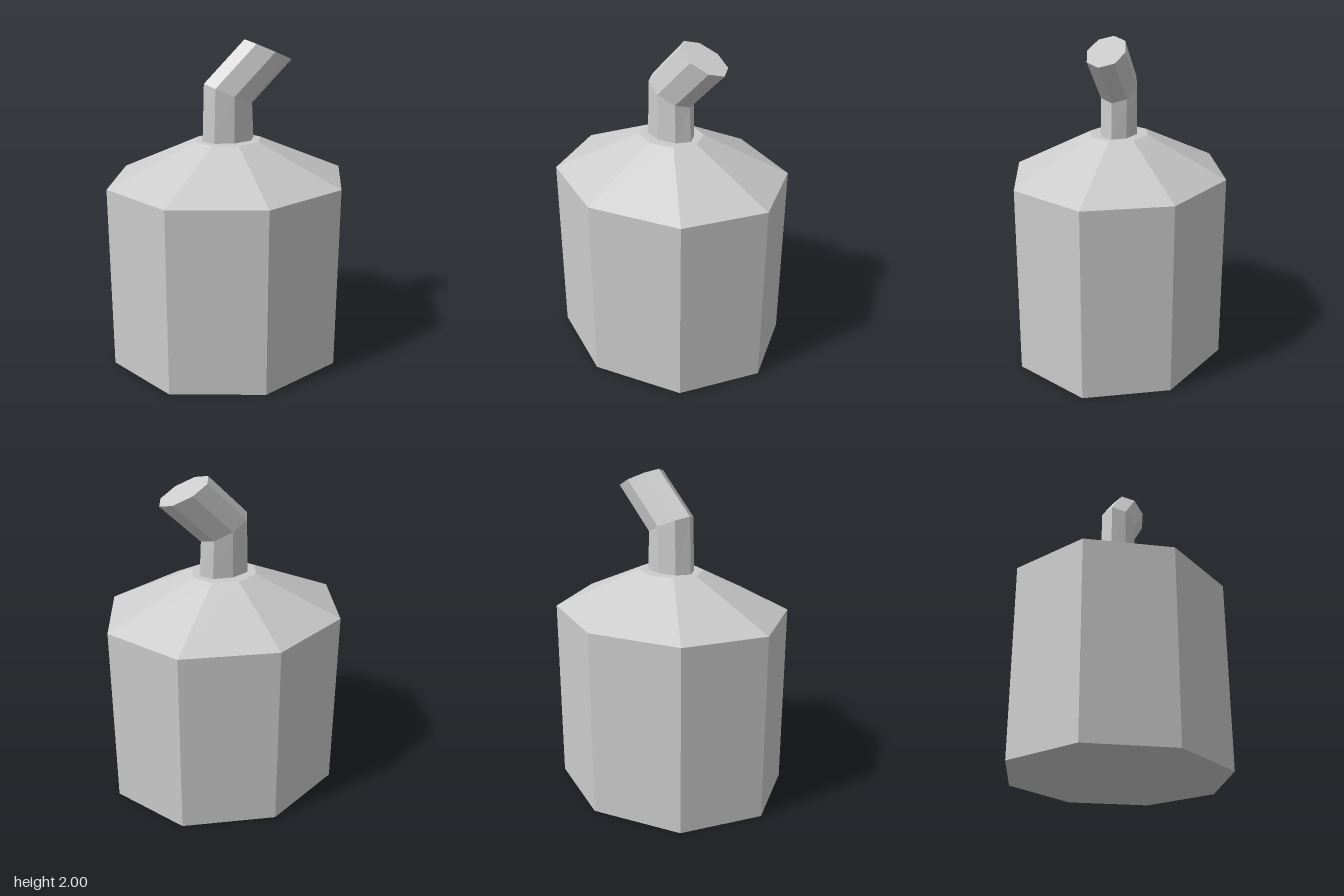
import * as THREE from 'three';

const SIDES = 8;

// Skins a stack of tilted octagonal rings, bottom to top, and closes both ends.
// Ring: centre x, centre y, half width in x, rise at the +x end, half depth in z.
function loft(name, rings, material) {
  const positions = [];
  const point = ([cx, cy, rx, tilt, rz], i) => {
    const a = (i % SIDES) * Math.PI * 2 / SIDES;
    return [cx + rx * Math.cos(a), cy + tilt * Math.cos(a), rz * Math.sin(a)];
  };
  const triangle = (...corners) => corners.forEach((c) => positions.push(...c));
  const first = rings[0], last = rings[rings.length - 1];

  for (let i = 0; i < SIDES; i++) {
    for (let r = 0; r < rings.length - 1; r++) {
      const a = point(rings[r], i), b = point(rings[r + 1], i);
      const c = point(rings[r + 1], i + 1), d = point(rings[r], i + 1);
      triangle(a, b, d);
      triangle(b, c, d);
    }
    triangle([first[0], first[1], 0], point(first, i), point(first, i + 1));
    triangle([last[0], last[1], 0], point(last, i + 1), point(last, i));
  }

  const geometry = new THREE.BufferGeometry();
  geometry.setAttribute('position', new THREE.Float32BufferAttribute(positions, 3));
  geometry.computeVertexNormals();
  const mesh = new THREE.Mesh(geometry, material);
  mesh.name = name;
  return mesh;
}

export function createModel() {
  const group = new THREE.Group();
  group.name = 'canister';
  const material = new THREE.MeshStandardMaterial({ color: 0xcccccc, flatShading: true });

  // Straight oval body with a sloping shoulder
  group.add(loft('body', [
    [0, 0, 0.765, 0, 0.67],
    [0, 1.157, 0.765, 0, 0.67],
    [0, 1.4, 0.21, 0, 0.185],
  ], material));

  // Bent spout leaning towards +x
  group.add(loft('spout', [
    [0, 1.4, 0.165, 0, 0.113],
    [0, 1.682, 0.154, -0.067, 0.113],
    [0.256, 1.933, 0.154, -0.067, 0.113],
  ], material));

  return group;
}
